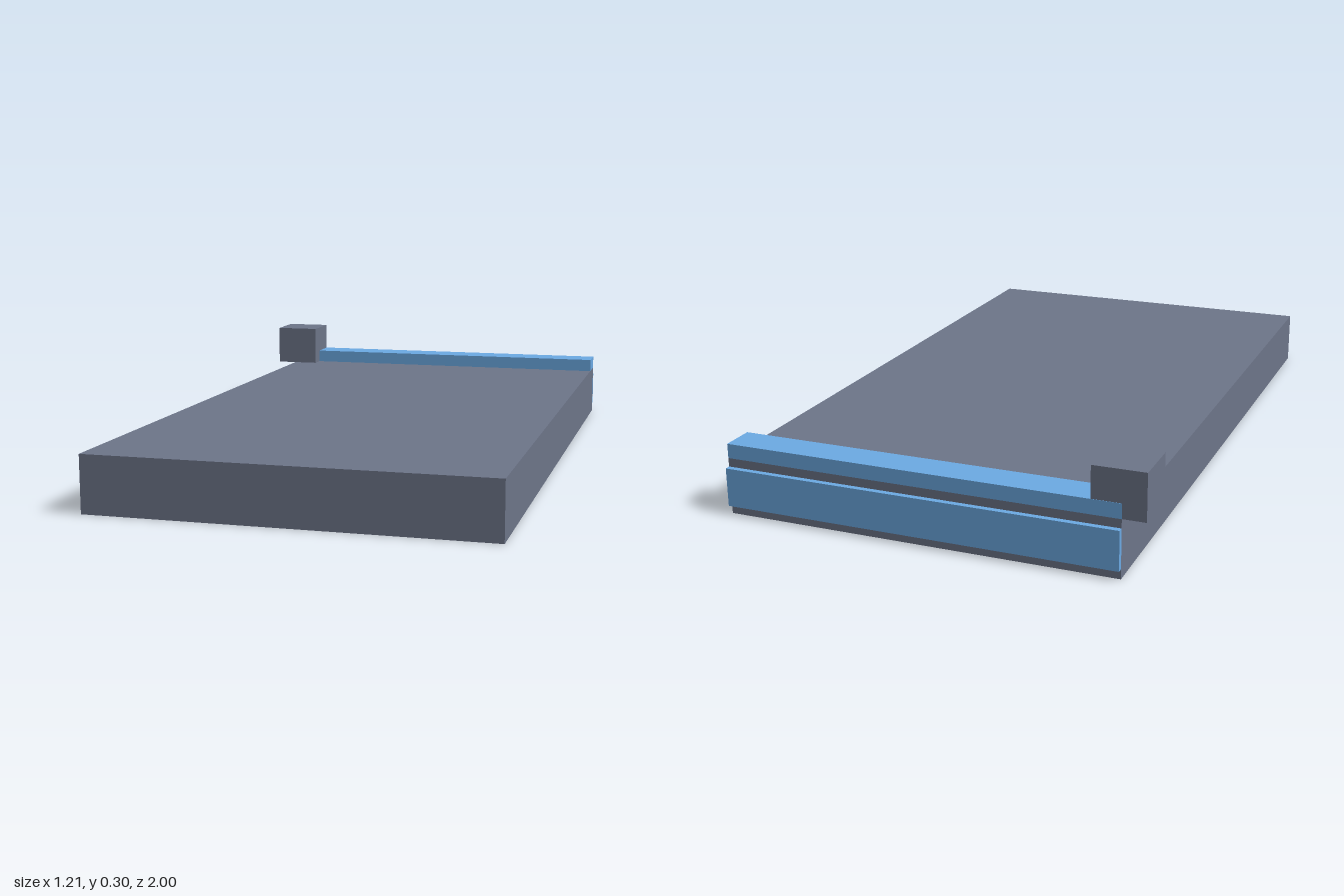
import * as THREE from 'three';

export function createModel() {
  const group = new THREE.Group();
  group.name = 'slabWithRail';

  const flat = (name, color) => {
    const material = new THREE.MeshStandardMaterial({ color });
    material.name = name;
    return material;
  };
  const slate = flat('slate grey', 0x6d7589);
  const blue = flat('sky blue', 0x6caae4);
  const black = flat('near black', 0x1c1c1c);

  // Box given by its extents along each axis, with its own underside material
  const addBox = (name, material, underside, [x0, x1], [y0, y1], [z0, z1]) => {
    const sides = [material, material, material, underside, material, material];
    const mesh = new THREE.Mesh(new THREE.BoxGeometry(x1 - x0, y1 - y0, z1 - z0), sides);
    mesh.position.set((x0 + x1) / 2, (y0 + y1) / 2, (z0 + z1) / 2);
    mesh.name = name;
    group.add(mesh);
  };

  const width = [-0.54, 0.605];

  // Main slab lying on the ground, black underneath
  addBox('slab', slate, black, width, [0, 0.165], [-0.984, 1]);
  // Low rail along the top of the back edge
  addBox('topRail', blue, blue, width, [0.165, 0.207], [-0.984, -0.886]);
  // Thin strip across the back face
  addBox('backStrip', blue, blue, width, [0.028, 0.14], [-1, -0.984]);
  // Block overhanging the back corner, black underneath
  addBox('cornerBlock', slate, black, [-0.605, -0.457], [0.165, 0.298], [-0.983, -0.835]);

  return group;
}
